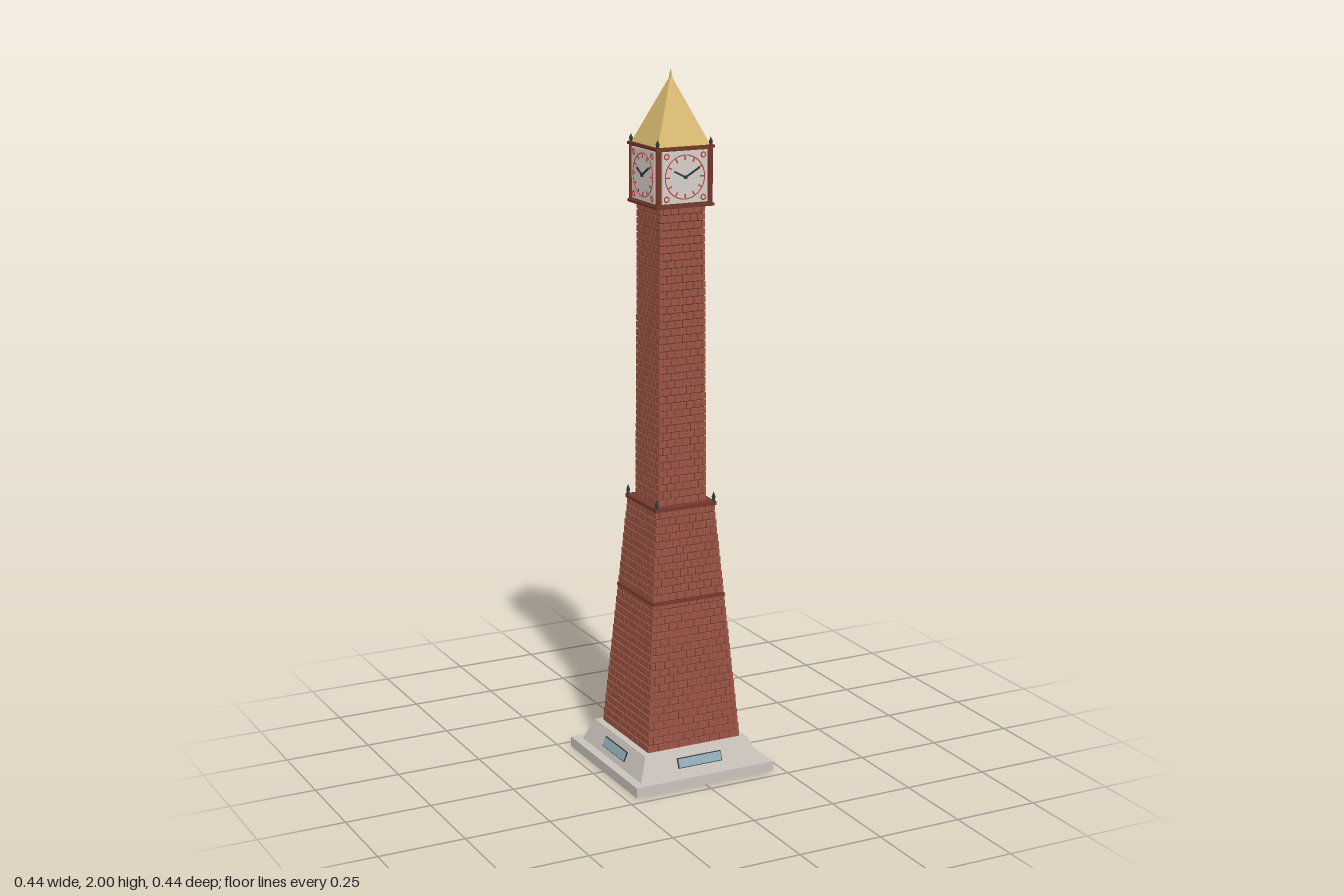
import * as THREE from 'three';
import { mergeGeometries } from 'three/addons/utils/BufferGeometryUtils.js';

const mat = (name, color, flatShading = true) => {
  const m = new THREE.MeshStandardMaterial({ color, flatShading });
  m.name = name;
  return m;
};

export function createModel() {
  const stone = mat('stone', 0xc9c3ba);
  const brick = mat('brick', 0x9c5544);
  const mortar = mat('mortar', 0x57302a);
  const trim = mat('trim', 0x74372c);
  const iron = mat('iron', 0x30363a);
  const gold = mat('gold', 0xd8ba70);
  const dial = mat('dial', 0xd6d0ca);
  const red = mat('red', 0xc4453c);
  const glass = mat('glass', 0x8fabb5);

  const tower = new THREE.Group();
  tower.name = 'clockTower';
  const add = (parent, name, geo, material, x = 0, y = 0, z = 0) => {
    const m = new THREE.Mesh(geo, material);
    m.name = name;
    m.position.set(x, y, z);
    parent.add(m);
    return m;
  };
  const box = (w, h, d) => new THREE.BoxGeometry(w, h, d);

  // Square block that tapers from half-width a at y0 to half-width b at y1
  const frustum = (name, a, b, y0, y1, material) => {
    const g = new THREE.CylinderGeometry(b * Math.SQRT2, a * Math.SQRT2, y1 - y0, 4);
    g.rotateY(Math.PI / 4);
    return add(tower, name, g, material, 0, (y0 + y1) / 2, 0);
  };

  // Runs a builder once for each of the four sides
  const fourSides = (name, build) => {
    for (let i = 0; i < 4; i++) {
      const side = new THREE.Group();
      side.name = name + (i + 1);
      side.rotation.y = i * Math.PI / 2;
      build(side);
      tower.add(side);
    }
  };

  // Staggered brick courses over a dark mortar core
  const brickwork = (name, a, b, y0, y1, rows, cols) => {
    frustum(name + 'Core', a - 0.004, b - 0.004, y0, y1, mortar);
    const parts = [];
    const rowH = (y1 - y0) / rows;
    for (let r = 0; r < rows; r++) {
      const half = THREE.MathUtils.lerp(a, b, (r + 0.5) / rows);
      const unit = 2 * half / cols;
      const shift = r % 2 ? -0.5 : 0;
      for (let c = 0; c < cols + r % 2; c++) {
        const x0 = Math.max(-half, -half + (c + shift) * unit);
        const x1 = Math.min(half, -half + (c + 1 + shift) * unit);
        const g = box(x1 - x0 - 0.0025, rowH - 0.003, 0.008);
        g.translate((x0 + x1) / 2, y0 + (r + 0.5) * rowH, half - 0.004);
        parts.push(g);
      }
    }
    const wall = mergeGeometries(parts);
    fourSides(name + 'Side', side => add(side, name + 'Bricks', wall, brick));
  };

  // Small iron pinnacles on the four corners of a square
  const pinnacles = (name, d, y, h) => {
    const profile = [[0, 0], [0.006, 0], [0.004, 0.3], [0.006, 0.5], [0.004, 0.65], [0, 1]]
      .map(([r, t]) => new THREE.Vector2(r, t * h));
    const g = new THREE.LatheGeometry(profile, 8);
    for (const x of [-d, d]) for (const z of [-d, d]) add(tower, name, g, iron, x, y, z);
  };

  // Stone base and plinth
  add(tower, 'baseSlab', box(0.437, 0.03, 0.437), stone, 0, 0.015, 0);
  frustum('plinth', 0.192, 0.165, 0.03, 0.095, stone);
  fourSides('plinthWindow', side => {
    const tilt = -Math.atan2(0.027, 0.065);
    add(side, 'windowFrame', box(0.14, 0.03, 0.004), iron, 0, 0.0625, 0.1795).rotation.x = tilt;
    add(side, 'windowPane', box(0.135, 0.025, 0.006), glass, 0, 0.0625, 0.1805).rotation.x = tilt;
  });

  // Lower tapering shaft with its string course and ledge
  brickwork('lowerShaft', 0.148, 0.092, 0.095, 0.785, 32, 9);
  frustum('stringCourse', 0.1155, 0.1145, 0.517, 0.525, trim);
  frustum('ledge', 0.096, 0.096, 0.783, 0.793, trim);
  pinnacles('ledgePinnacle', 0.09, 0.79, 0.032);

  // Upper shaft
  brickwork('upperShaft', 0.075, 0.07, 0.793, 1.635, 40, 6);

  // Clock housing
  add(tower, 'clockHousing', box(0.16, 0.165, 0.16), trim, 0, 1.7175, 0);
  for (const y of [1.638, 1.797]) add(tower, 'cornice', box(0.178, 0.008, 0.178), trim, 0, y, 0);
  for (const x of [-0.081, 0.081]) for (const z of [-0.081, 0.081])
    add(tower, 'cornerPost', new THREE.CylinderGeometry(0.006, 0.006, 0.165, 8), trim, x, 1.7175, z);
  pinnacles('roofPinnacle', 0.081, 1.798, 0.025);

  // Clock on each side
  fourSides('clock', side => {
    const y = 1.718;
    add(side, 'clockFace', box(0.138, 0.142, 0.006), dial, 0, y, 0.082);
    add(side, 'clockRing', new THREE.TorusGeometry(0.06, 0.0015, 6, 36), red, 0, y, 0.085);
    for (let i = 0; i < 12; i++) {
      const a = i * Math.PI / 6;
      const tick = add(side, 'hourMark', box(0.0035, 0.011, 0.003), red,
        Math.sin(a) * 0.052, y + Math.cos(a) * 0.052, 0.0855);
      tick.rotation.z = -a;
    }
    for (const sx of [-1, 1]) for (const sy of [-1, 1])
      add(side, 'cornerRosette', new THREE.TorusGeometry(0.007, 0.002, 5, 12), red,
        sx * 0.056, y + sy * 0.058, 0.0855);
    const hand = (name, length, angle, z) => {
      const g = box(length, 0.005, 0.0025);
      g.translate(length / 2 - 0.005, 0, 0);
      add(side, name, g, iron, 0, y, z).rotation.z = angle;
    };
    hand('minuteHand', 0.054, Math.PI / 6, 0.089);
    hand('hourHand', 0.042, Math.PI * 0.85, 0.0875);
    const hub = new THREE.CylinderGeometry(0.005, 0.005, 0.006, 10);
    hub.rotateX(Math.PI / 2);
    add(side, 'handHub', hub, iron, 0, y, 0.088);
  });

  // Golden pyramid roof with a small tip
  frustum('roof', 0.08, 0.003, 1.801, 1.98, gold);
  frustum('roofTip', 0.004, 0.001, 1.978, 2.0, gold);
  return tower;
}
